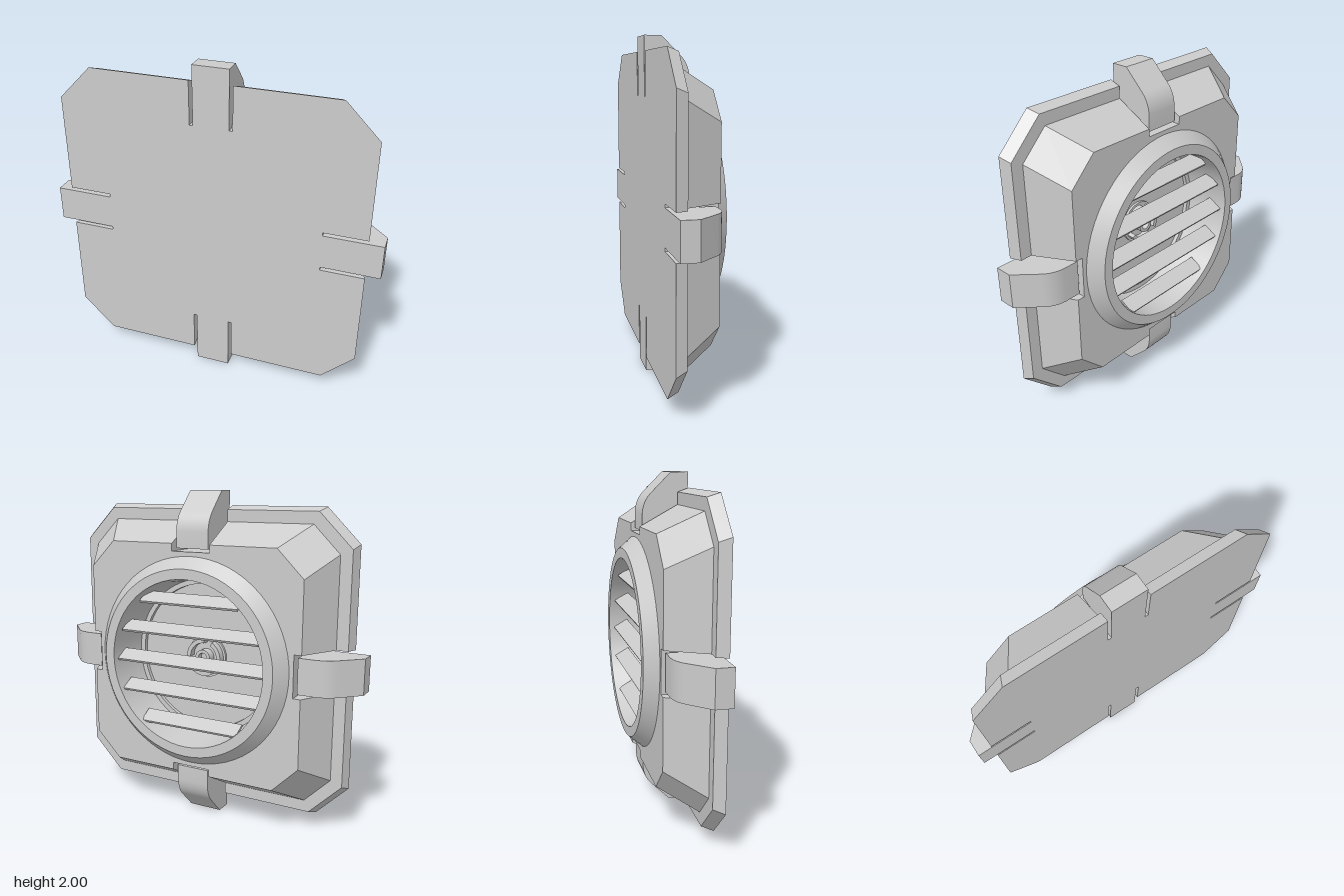
import * as THREE from 'three';
import { toCreasedNormals } from 'three/addons/utils/BufferGeometryUtils.js';

const material = new THREE.MeshStandardMaterial({ color: 0xcccccc });
const SLOT = 0.125, SLOT_IN = 0.655;

// Chamfered square with a slot in the middle of each side, counter-clockwise
function outline(half, corner) {
  const quarter = [[SLOT_IN, SLOT], [half, SLOT], [half, corner], [corner, half], [SLOT, half], [SLOT, SLOT_IN]];
  const points = [];
  for (let q = 0; q < 4; q++) {
    for (const [x, y] of quarter) {
      points.push(new THREE.Vector2(x, y).rotateAround(new THREE.Vector2(), q * Math.PI / 2));
    }
  }
  return points;
}

// Flat-sided walls through a stack of outlines, back to front
function loft(layers) {
  const pos = [];
  for (let k = 0; k < layers.length - 1; k++) {
    const [za, ...sa] = layers[k], [zb, ...sb] = layers[k + 1];
    const a = outline(...sa), b = outline(...sb);
    a.forEach((p, i) => {
      const j = (i + 1) % a.length;
      const A = [p.x, p.y, za], B = [a[j].x, a[j].y, za];
      const C = [b[j].x, b[j].y, zb], D = [b[i].x, b[i].y, zb];
      pos.push(...A, ...B, ...C, ...A, ...C, ...D);
    });
  }
  const g = new THREE.BufferGeometry();
  g.setAttribute('position', new THREE.Float32BufferAttribute(pos, 3));
  g.computeVertexNormals();
  return g;
}

// Turned part around the z axis from [radius, z] points, running outside to inside
function turned(profile, segments = 64) {
  const g = new THREE.LatheGeometry(profile.map(([r, z]) => new THREE.Vector2(r, -z)), segments);
  return toCreasedNormals(g.rotateX(-Math.PI / 2), 0.5);
}

export function createModel() {
  const model = new THREE.Group();
  model.name = 'ventPanel';
  const body = new THREE.Group();
  body.name = 'panelAssembly';
  body.position.y = 1;
  model.add(body);
  const add = (name, geometry, parent = body) => {
    const m = new THREE.Mesh(geometry, material);
    m.name = name;
    parent.add(m);
    return m;
  };

  // Stepped housing: tapered body and wider front plate
  add('housingWalls', loft([
    [-0.105, 0.7, 0.54], [0.115, 0.82, 0.66], [0.115, 0.89, 0.69], [0.18, 0.913, 0.715],
  ]));
  add('frontFace', new THREE.ShapeGeometry(new THREE.Shape(outline(0.913, 0.715)))).position.z = 0.18;
  const backShape = new THREE.Shape(outline(0.7, 0.54));
  backShape.holes.push(new THREE.Path().absarc(0, 0, 0.6, 0, Math.PI * 2, true));
  add('backFace', new THREE.ShapeGeometry(backShape, 32).rotateY(Math.PI)).position.z = -0.105;

  // Bevelled ring, recess wall and recess floor
  add('ringAndRecess', turned([
    [0.63, -0.105], [0.565, -0.18], [0.505, -0.18], [0.48, 0.085], [0.45, 0.085], [0.45, 0.11], [0, 0.11],
  ]));

  // Tilted louvre slats across the opening
  for (let i = -2; i <= 2; i++) {
    const y = i * 0.187;
    const length = 2 * Math.sqrt(0.5 ** 2 - y * y) - 0.01;
    const slat = add('louvreSlat', new THREE.BoxGeometry(length, 0.015, 0.1));
    slat.position.set(0, y, -0.105);
    slat.rotation.x = -Math.PI / 6;
  }

  // Socket in the recess: base disc, three prongs and a hollow core
  const socket = new THREE.Group();
  socket.name = 'socket';
  body.add(socket);
  add('socketBase', turned([[0.13, 0.11], [0.13, 0.095], [0, 0.095]], 32), socket);
  add('socketCore', turned([[0.05, 0.095], [0.05, 0.04], [0.03, 0.04], [0.03, 0.08], [0, 0.08]], 24), socket);
  for (let i = 0; i < 3; i++) {
    const arc = new THREE.Shape();
    arc.absarc(0, 0, 0.115, 0, 1.6, false);
    arc.absarc(0, 0, 0.09, 1.6, 0, true);
    const prong = add('socketProng', new THREE.ExtrudeGeometry(arc, { depth: 0.05, bevelEnabled: false }), socket);
    prong.position.z = 0.05;
    prong.rotation.z = i * Math.PI * 2 / 3;
  }

  // Four clips, one in each slot
  const clipShape = new THREE.Shape();
  clipShape.moveTo(0.65, 0.18);
  clipShape.lineTo(0.65, 0.14);
  clipShape.lineTo(0.672, 0.14);
  clipShape.lineTo(0.672, -0.085);
  clipShape.lineTo(0.77, -0.085);
  clipShape.quadraticCurveTo(0.84, -0.08, 0.885, -0.035);
  clipShape.lineTo(1, 0.08);
  clipShape.lineTo(1, 0.18);
  clipShape.closePath();
  const clip = toCreasedNormals(
    new THREE.ExtrudeGeometry(clipShape, { depth: 0.21, bevelEnabled: false, curveSegments: 8 })
      .translate(0, 0, -0.105).rotateX(Math.PI / 2), 0.4);
  ['leftClip', 'topClip', 'rightClip', 'bottomClip'].forEach((name, i) => {
    add(name, clip).rotation.z = i * Math.PI / 2;
  });

  return model;
}
